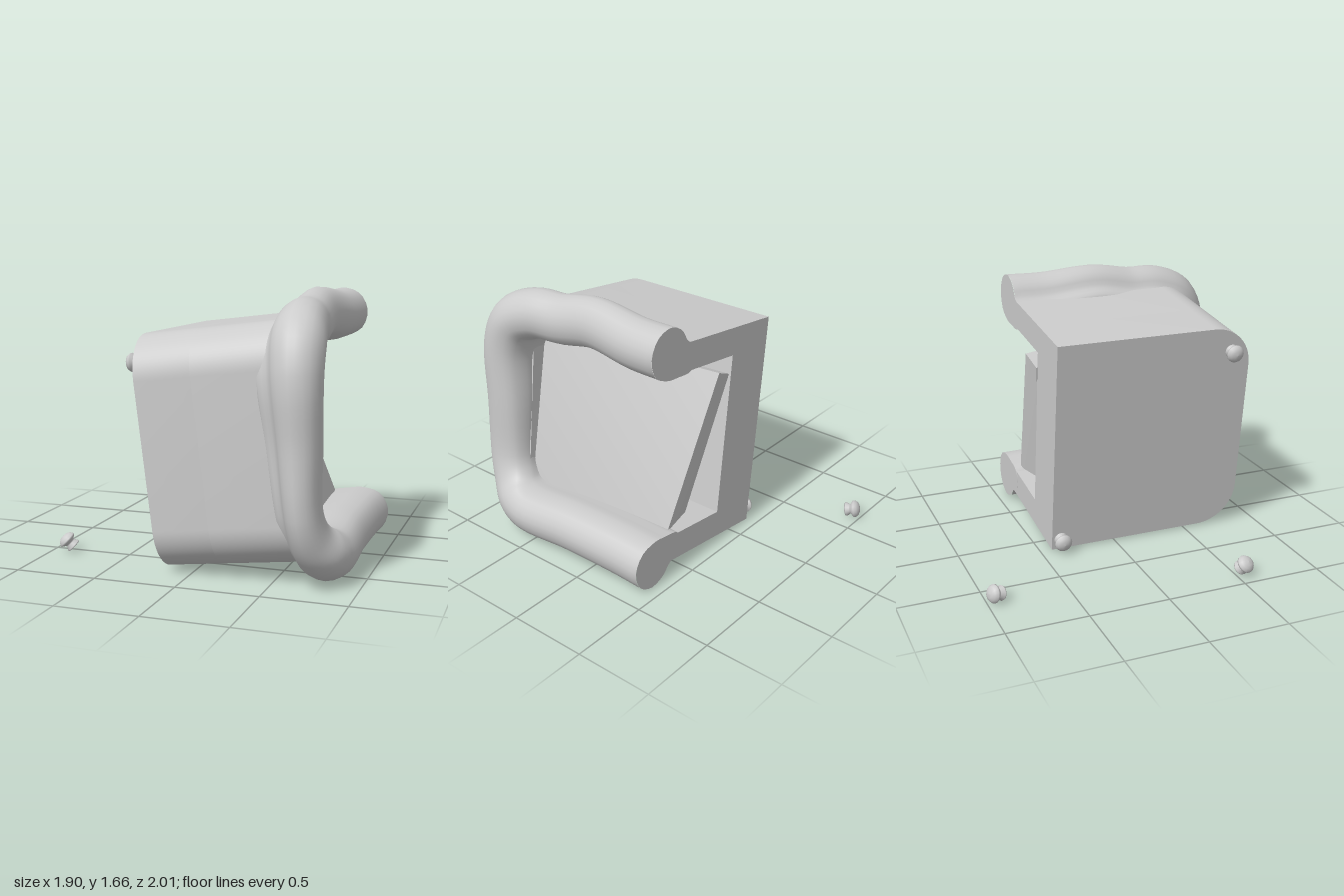
import * as THREE from 'three';
import { toCreasedNormals } from 'three/addons/utils/BufferGeometryUtils.js';
import { ConvexGeometry } from 'three/addons/geometries/ConvexGeometry.js';

const grey = new THREE.MeshStandardMaterial({ color: 0xcccccc });
const V = (x, y, z) => new THREE.Vector3(x, y, z);

function add(parent, name, geometry) {
  const mesh = new THREE.Mesh(geometry, grey);
  mesh.name = name;
  parent.add(mesh);
  return mesh;
}

// Side profile drawn with u = -z, then extruded along +x
function extrudeX(shape, x0, x1) {
  const g = new THREE.ExtrudeGeometry(shape, { depth: x1 - x0, bevelEnabled: false, curveSegments: 10 });
  g.rotateY(Math.PI / 2).translate(x0, 0, 0);
  return toCreasedNormals(g, 0.6);
}

const BACK = 0.43, FRONT = -0.86, LOW = 0.035, HIGH = 1.43, WALL = 0.175;

// Outer outline: square at the back, rounded at the front
function outerOutline() {
  const r = 0.26, s = new THREE.Shape();
  s.moveTo(BACK, HIGH);
  s.lineTo(FRONT + r, HIGH);
  s.absarc(FRONT + r, HIGH - r, r, Math.PI / 2, Math.PI, false);
  s.absarc(FRONT + r, LOW + r, r, Math.PI, Math.PI * 1.5, false);
  s.lineTo(BACK, LOW);
  return s;
}

// Same outline with the cavity cut in from the back
function rimOutline() {
  const s = outerOutline(), r = 0.08;
  const f = FRONT + WALL, lo = LOW + WALL, hi = HIGH - WALL;
  s.lineTo(BACK, lo);
  s.lineTo(f + r, lo);
  s.absarc(f + r, lo + r, r, Math.PI * 1.5, Math.PI, true);
  s.absarc(f + r, hi - r, r, Math.PI, Math.PI / 2, true);
  s.lineTo(BACK, hi);
  return s;
}

// Padded roll path: x holds the roll's outer edge, y and z its centre line
const rollPath = new THREE.CatmullRomCurve3([
  V(0.955, 1.395, -0.43), V(0.94, 1.395, -0.2), V(0.905, 1.425, 0.14), V(0.92, 1.385, 0.4),
  V(0.945, 1.375, 0.6), V(0.965, 1.30, 0.765), V(0.95, 1.12, 0.845), V(0.905, 0.75, 0.845),
  V(0.862, 0.36, 0.845), V(0.88, 0.22, 0.80), V(0.935, 0.12, 0.72), V(0.958, 0.07, 0.6),
  V(0.95, 0.08, 0.2), V(0.952, 0.082, -0.2), V(0.958, 0.076, -0.43),
]);

// Roll section: round outside, flowing into the wall on its -x side
const rollSection = new THREE.CatmullRomCurve3([
  [1, 0], [0.71, 0.71], [0, 1], [-0.65, 0.74], [-0.98, 0.32], [-1.5, 0.06],
  [-1.6, -0.5], [-1.3, -0.93], [-0.6, -1], [0, -1], [0.71, -0.71],
].map(p => V(p[0], p[1], 0)), true).getPoints(32).slice(0, -1);

function rollRing(t) {
  const R = 0.156, INNER_EDGE = 0.645;
  const p = rollPath.getPoint(t), d = rollPath.getTangent(t);
  const len = Math.hypot(d.y, d.z), half = (p.x - INNER_EDGE) / 2;
  return rollSection.map(s => V(INNER_EDGE + half * (1 + s.x),
    p.y + s.y * R * d.z / len, p.z - s.y * R * d.y / len));
}

function rollGeometry() {
  const rings = 72, n = rollSection.length, points = [], index = [];
  for (let i = 0; i <= rings; i++) points.push(...rollRing(i / rings));
  for (let i = 0; i < rings; i++) {
    for (let j = 0; j < n; j++) {
      const a = i * n + j, d = i * n + (j + 1) % n;
      index.push(a, d, a + n, d, d + n, a + n);
    }
  }
  const g = new THREE.BufferGeometry().setFromPoints(points);
  g.setIndex(index);
  g.computeVertexNormals();
  return g;
}

// Flat end of the roll, facing backwards
function rollEnd(t) {
  const shape = new THREE.Shape(rollRing(t).map(p => new THREE.Vector2(-p.x, p.y)));
  return new THREE.ShapeGeometry(shape).rotateY(Math.PI).translate(0, 0, -0.432);
}

// Small mushroom knob, head along +y
const knobGeometry = new THREE.LatheGeometry(
  [[0, -0.045], [0.044, -0.045], [0.046, -0.038], [0.032, -0.016], [0.034, -0.008], [0.056, 0.008],
    [0.056, 0.018], [0.044, 0.036], [0.024, 0.046], [0, 0.049]].map(p => new THREE.Vector2(...p)), 16);

function addKnob(parent, name, position, headDirection) {
  const knob = add(parent, name, knobGeometry);
  knob.position.copy(position);
  knob.quaternion.setFromUnitVectors(V(0, 1, 0), headDirection.normalize());
}

export function createModel() {
  const model = new THREE.Group();
  model.name = 'paddedShell';

  // Leaning shell: thick side wall plus a C-shaped rim
  const shell = new THREE.Group();
  shell.name = 'shell';
  shell.rotation.z = 0.122;
  model.add(shell);
  add(shell, 'sideWall', extrudeX(outerOutline(), -0.157, 0.19));
  add(shell, 'rimWall', extrudeX(rimOutline(), 0.19, 0.74));

  // Soft padded roll around the open edge
  add(shell, 'paddedRoll', rollGeometry());
  add(shell, 'upperRollEnd', rollEnd(0));
  add(shell, 'lowerRollEnd', rollEnd(1));

  // Slanted panel inside the cavity
  add(model, 'innerPanel', toCreasedNormals(new ConvexGeometry([
    V(0.49, 1.30, 0.72), V(0.68, 0.30, 0.73), V(0.60, 0.29, -0.385), V(0.20, 1.22, -0.455),
    V(0.36, 1.26, 0.72), V(0.48, 0.27, 0.73), V(0.36, 0.29, -0.33), V(0.07, 1.16, -0.43),
  ]), 0.5));

  // Knobs on the side wall, and two loose ones
  addKnob(model, 'upperKnob', V(-0.345, 1.24, 0.73), V(-1, -0.12, 0));
  addKnob(model, 'lowerKnob', V(-0.205, 0.08, -0.37), V(-1, -0.12, 0));
  addKnob(model, 'looseKnobBack', V(-0.645, 0.06, -0.945), V(-0.3, 0.25, -0.9));
  addKnob(model, 'looseKnobFront', V(-0.895, 0.07, 0.55), V(-0.6, 0.65, 0.25));
  return model;
}
